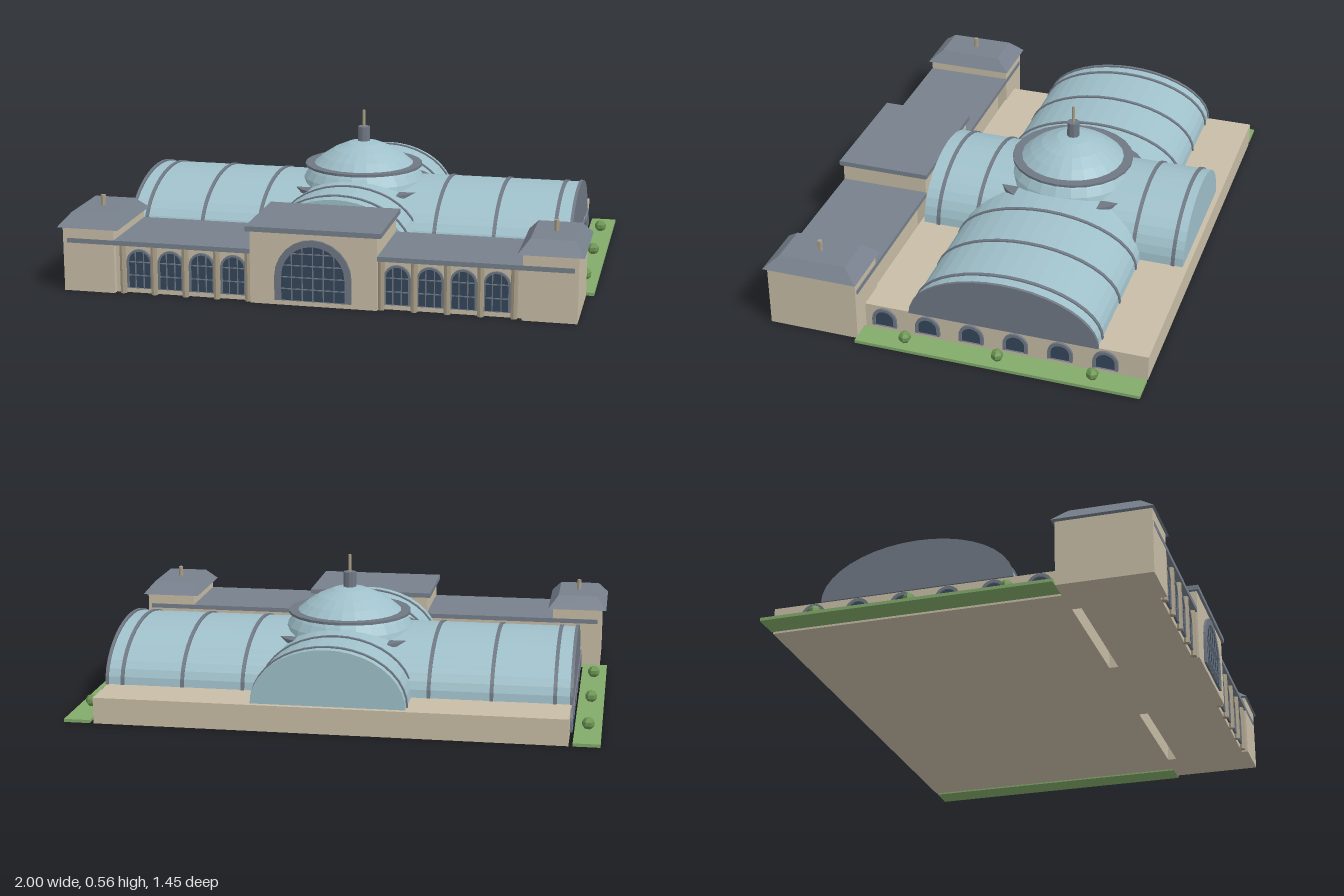
import * as THREE from 'three';

const mat = (name, color, flat = true) => {
  const m = new THREE.MeshStandardMaterial({ color });
  m.name = name;
  m.flatShading = flat;
  return m;
};

export function createModel() {
  const stone = mat('stone', 0xc8bda6);
  const column = mat('column stone', 0xa89d86);
  const slate = mat('slate roof', 0x76808c);
  const trim = mat('metal trim', 0x6f7884);
  const glass = mat('pale glass', 0x9fc0ca);
  const pane = mat('dark pane', 0x34465a);
  const lawnGreen = mat('lawn green', 0x82aa6a);
  const shrubGreen = mat('shrub green', 0x6c9652);

  const root = new THREE.Group();
  root.name = 'glassRoofedHall';
  const CZ = -0.18; // centre of the vaults and dome
  const BASE = 0.1; // height of the podium

  const add = (parent, name, geo, material, x = 0, y = 0, z = 0) => {
    const mesh = new THREE.Mesh(geo, material);
    mesh.name = name;
    mesh.position.set(x, y, z);
    parent.add(mesh);
    return mesh;
  };
  // Box from its limits on each axis
  const block = (parent, name, material, x0, x1, y0, y1, z0, z1) =>
    add(parent, name, new THREE.BoxGeometry(x1 - x0, y1 - y0, z1 - z0), material,
      (x0 + x1) / 2, (y0 + y1) / 2, (z0 + z1) / 2);
  const group = (name, x = 0, y = 0, z = 0, ry = 0) => {
    const g = new THREE.Group();
    g.name = name;
    g.position.set(x, y, z);
    g.rotation.y = ry;
    root.add(g);
    return g;
  };
  const extrude = (shape, depth, curveSegments = 8) =>
    new THREE.ExtrudeGeometry(shape, { depth, bevelEnabled: false, curveSegments });

  // Half ellipse standing on y = 0
  const halfEllipse = (a, b) => new THREE.Shape().absellipse(0, 0, a, b, 0, Math.PI, false);
  // Round-headed opening: straight sides with a half circle on top
  const archShape = (r, bottom, spring) => {
    const s = new THREE.Shape();
    s.moveTo(-r, bottom);
    s.lineTo(r, bottom);
    s.lineTo(r, spring);
    s.absarc(0, spring, r, 0, Math.PI, false);
    s.closePath();
    return s;
  };

  // Arched window facing +z, with a frame and glazing bars
  function archWindow(g, r, frame, bottom, spring, xs, ys) {
    const outer = archShape(r + frame, bottom, spring);
    outer.holes.push(archShape(r, bottom - 0.0001 + 0.001, spring));
    add(g, 'windowFrame', extrude(outer, 0.01, 6), trim);
    add(g, 'windowPane', extrude(archShape(r, bottom, spring), 0.004, 6), pane);
    for (const x of xs) {
      const top = spring + Math.sqrt(r * r - x * x);
      block(g, 'glazingBar', trim, x - 0.002, x + 0.002, bottom, top, 0, 0.007);
    }
    for (const y of ys) {
      const w = y > spring ? Math.sqrt(r * r - (y - spring) ** 2) : r;
      block(g, 'glazingBar', trim, -w, w, y - 0.002, y + 0.002, 0, 0.007);
    }
  }

  // Podium
  block(root, 'podium', stone, -0.885, 0.885, 0, BASE, -0.73, 0.365);

  // Barrel vault along z in its own frame, with raised ribs
  function vault(g, a, b, z0, z1, ribs) {
    add(g, 'vault', extrude(halfEllipse(a, b), z1 - z0, 10), glass, 0, 0, z0);
    for (const z of ribs)
      add(g, 'vaultRib', extrude(halfEllipse(a + 0.005, b + 0.005), 0.014, 10), trim, 0, 0, z - 0.007);
  }
  vault(group('mainVault', 0, BASE, CZ, Math.PI / 2), 0.36, 0.19, -0.88, 0.88,
    [-0.825, -0.59, -0.355, 0.355, 0.59, 0.825]);
  vault(group('crossVault', 0, BASE, 0), 0.29, 0.215, -0.71, 0.35, [-0.67, -0.51, 0.13, 0.29]);

  for (const side of [-1, 1]) {
    const turn = side * Math.PI / 2;

    // Great lunette closing each end of the main vault
    const end = group('endLunette', side * 0.88, BASE, CZ, turn);
    const ring = halfEllipse(0.365, 0.197);
    ring.holes.push(halfEllipse(0.332, 0.174));
    add(end, 'lunetteFrame', extrude(ring, 0.012, 10), trim);
    add(end, 'lunettePane', extrude(halfEllipse(0.333, 0.175), 0.005, 10), pane);
    for (const x of [-0.29, -0.195, -0.065, 0.065, 0.195, 0.29])
      block(end, 'lunetteBar', trim, x - 0.004, x + 0.004, 0,
        0.174 * Math.sqrt(1 - (x / 0.332) ** 2), 0, 0.008);
    for (const y of [0.06, 0.118]) {
      const w = 0.332 * Math.sqrt(1 - (y / 0.174) ** 2);
      block(end, 'lunetteBar', trim, -w, w, y - 0.003, y + 0.003, 0, 0.008);
    }

    // Row of small arched windows in the podium
    for (let i = 0; i < 6; i++)
      archWindow(group('podiumWindow', side * 0.885, 0, 0.283 - i * 0.171, turn),
        0.036, 0.012, 0.018, 0.046, [], []);

    // Lawn strip with shrubs
    const mid = side * 0.95;
    block(root, 'lawn', lawnGreen, mid - 0.05, mid + 0.05, 0, 0.012, -0.73, 0.36);
    for (const z of [0.18, CZ, -0.54])
      add(root, 'shrub', new THREE.SphereGeometry(0.024, 6, 5), shrubGreen, mid, 0.032, z);
  }

  // Crossing: collar, dome, ring and lantern
  const dome = group('dome', 0, 0, CZ);
  add(dome, 'crossingCollar', new THREE.CylinderGeometry(0.3, 0.3, 0.014, 24), trim, 0, 0.261, 0);
  const profile = [[0.252, 0.265], [0.245, 0.29], [0.226, 0.32], [0.204, 0.345], [0.17, 0.374],
    [0.125, 0.403], [0.065, 0.429], [0, 0.44]].map(([r, y]) => new THREE.Vector2(r, y));
  add(dome, 'domeShell', new THREE.LatheGeometry(profile, 24), glass);
  add(dome, 'domeRing', new THREE.CylinderGeometry(0.24, 0.24, 0.01, 24), trim, 0, 0.341, 0);
  add(dome, 'lantern', new THREE.CylinderGeometry(0.025, 0.025, 0.06, 10), trim, 0, 0.465, 0);
  add(dome, 'spire', new THREE.CylinderGeometry(0.006, 0.006, 0.07, 8), column, 0, 0.528, 0);

  // Entrance pavilion
  block(root, 'pavilion', stone, -0.24, 0.24, 0, 0.276, 0.36, 0.712);
  block(root, 'pavilionRoof', slate, -0.255, 0.255, 0.276, 0.295, 0.35, 0.722);
  archWindow(group('entranceWindow', 0, 0, 0.712), 0.12, 0.025, 0.02, 0.11,
    [-0.08, -0.04, 0, 0.04, 0.08], [0.065, 0.11, 0.155, 0.2]);

  // Roof slab and cornice running through the whole front range
  for (const s of [-1, 1]) {
    const xs = [s * 0.24, s * 0.955].sort((a, b) => a - b);
    block(root, 'wingRoof', slate, xs[0], xs[1], 0.188, 0.206, 0.357, 0.711);
  }

  for (const s of [-1, 1]) {
    // Wing wall with colonnade and arched windows
    const xs = [s * 0.24, s * 0.77].sort((a, b) => a - b);
    block(root, 'wing', stone, xs[0], xs[1], 0, 0.19, 0.4, 0.685);
    for (let i = 0; i < 5; i++)
      add(root, 'column', new THREE.CylinderGeometry(0.013, 0.013, 0.188, 8), column,
        s * (0.252 + i * 0.122), 0.094, 0.693);
    for (let i = 0; i < 4; i++)
      archWindow(group('wingWindow', s * (0.31 + i * 0.122), 0, 0.685), 0.042, 0.008, 0.02, 0.122,
        [-0.016, 0.016], [0.07, 0.122]);

    // Corner tower with hipped roof and finial
    const tx = s * 0.87;
    block(root, 'tower', stone, tx - 0.1, tx + 0.1, 0, 0.25, 0.36, 0.71);
    const hip = new THREE.BoxGeometry(0.24, 0.048, 0.37);
    const p = hip.attributes.position;
    for (let i = 0; i < p.count; i++)
      if (p.getY(i) > 0) p.setXYZ(i, p.getX(i) * 0.67, p.getY(i), p.getZ(i) * 0.7);
    hip.computeVertexNormals();
    add(root, 'towerRoof', hip, slate, tx, 0.271, 0.535);
    add(root, 'towerFinial', new THREE.CylinderGeometry(0.01, 0.01, 0.045, 6), column, tx, 0.313, 0.535);
  }

  return root;
}
